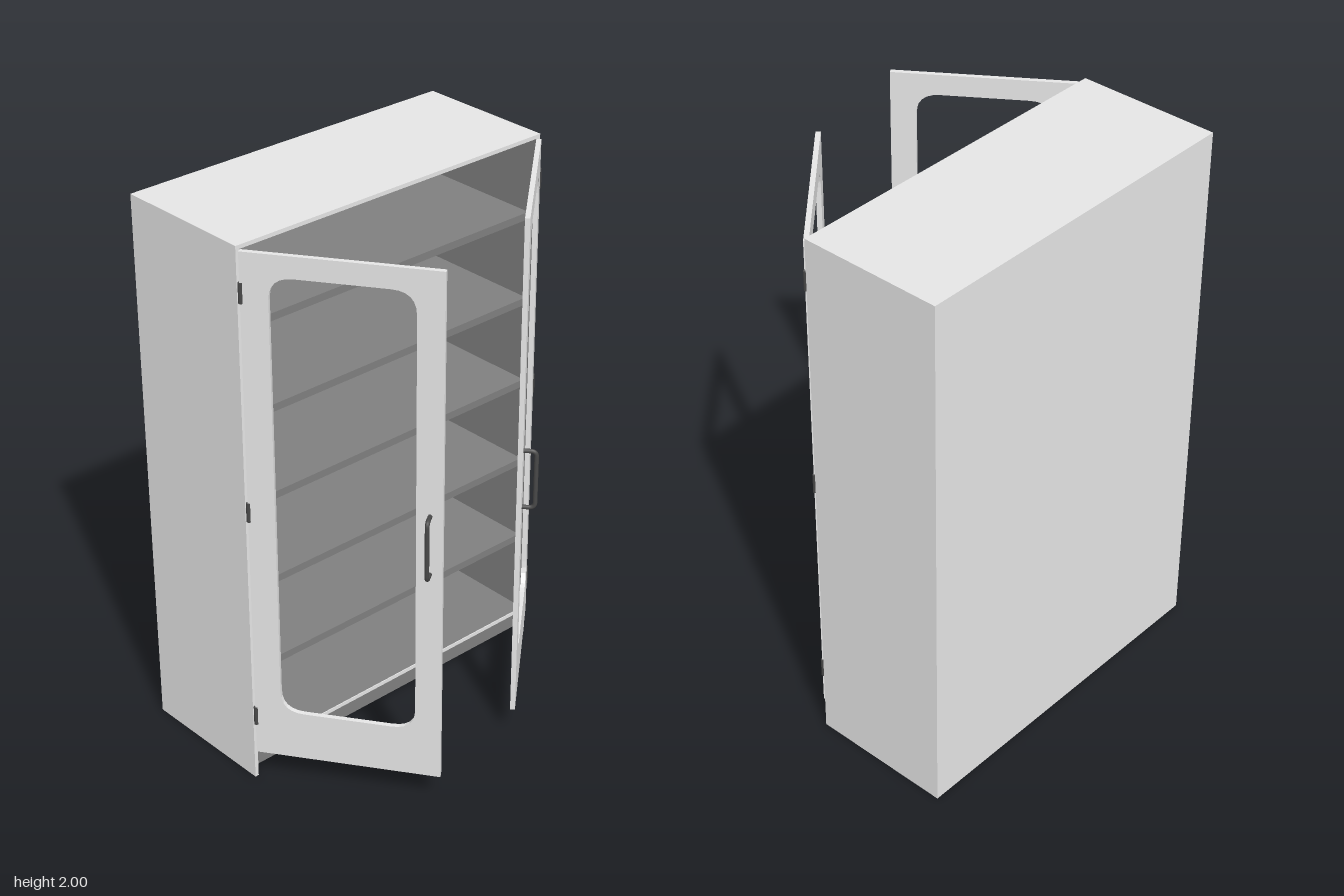
import * as THREE from 'three';

const body = new THREE.MeshStandardMaterial({ name: 'light grey shell', color: 0xe5e5e5 });
const lining = new THREE.MeshStandardMaterial({ name: 'mid grey lining', color: 0x7f7f7f });
const dark = new THREE.MeshStandardMaterial({ name: 'dark grey fittings', color: 0x484848 });

const WIDTH = 1.3, HEIGHT = 2, BACK = -0.528, FRONT = -0.006;
const SKIN = 0.003, WALL = 0.014, PLINTH = 0.1;
const DOOR_WIDTH = 0.637, DOOR_BOTTOM = 0.112, DOOR_TOP = 1.985, DOOR_THICK = 0.017;

// Box given by its minimum and maximum corners
function box(name, material, [x0, y0, z0], [x1, y1, z1]) {
  const mesh = new THREE.Mesh(new THREE.BoxGeometry(x1 - x0, y1 - y0, z1 - z0), material);
  mesh.position.set((x0 + x1) / 2, (y0 + y1) / 2, (z0 + z1) / 2);
  mesh.name = name;
  return mesh;
}

function roundedRect(path, x0, y0, x1, y1, r) {
  path.moveTo(x0 + r, y0);
  path.lineTo(x1 - r, y0);
  path.quadraticCurveTo(x1, y0, x1, y0 + r);
  path.lineTo(x1, y1 - r);
  path.quadraticCurveTo(x1, y1, x1 - r, y1);
  path.lineTo(x0 + r, y1);
  path.quadraticCurveTo(x0, y1, x0, y1 - r);
  path.lineTo(x0, y0 + r);
  path.quadraticCurveTo(x0, y0, x0 + r, y0);
  return path;
}

// Bent bar with rounded corners, standing off the door face
function makeHandle(x) {
  const lo = 0.917, hi = 1.133, z0 = DOOR_THICK / 2 - 0.004, z1 = 0.052, r = 0.02;
  const p = (y, z) => new THREE.Vector3(x, y, z);
  const path = new THREE.CurvePath();
  path.add(new THREE.LineCurve3(p(lo, z0), p(lo, z1 - r)));
  path.add(new THREE.QuadraticBezierCurve3(p(lo, z1 - r), p(lo, z1), p(lo + r, z1)));
  path.add(new THREE.LineCurve3(p(lo + r, z1), p(hi - r, z1)));
  path.add(new THREE.QuadraticBezierCurve3(p(hi - r, z1), p(hi, z1), p(hi, z1 - r)));
  path.add(new THREE.LineCurve3(p(hi, z1 - r), p(hi, z0)));
  const mesh = new THREE.Mesh(new THREE.TubeGeometry(path, 80, 0.0075, 10), dark);
  mesh.name = 'handle';
  return mesh;
}

// Door hung at its hinge line; side is +1 for left, -1 for right
function makeDoor(side, angle) {
  const door = new THREE.Group();
  door.name = side > 0 ? 'leftDoor' : 'rightDoor';
  const spanX = (a, b) => [Math.min(-side * a, -side * b), Math.max(-side * a, -side * b)];

  const [x0, x1] = spanX(0, DOOR_WIDTH);
  const shape = new THREE.Shape([
    new THREE.Vector2(x0, DOOR_BOTTOM), new THREE.Vector2(x1, DOOR_BOTTOM),
    new THREE.Vector2(x1, DOOR_TOP), new THREE.Vector2(x0, DOOR_TOP),
  ]);
  const [w0, w1] = spanX(0.09, 0.55);
  shape.holes.push(roundedRect(new THREE.Path(), w0, 0.295, w1, 1.91, 0.08));
  const geo = new THREE.ExtrudeGeometry(shape, { depth: DOOR_THICK, bevelEnabled: false, curveSegments: 6 });
  geo.translate(0, 0, -DOOR_THICK / 2);
  const frame = new THREE.Mesh(geo, body);
  frame.name = 'doorFrame';
  door.add(frame, makeHandle(-side * 0.595));

  door.position.set(side * 0.64, 0, -0.002);
  door.rotation.y = side * angle;
  return door;
}

export function createModel() {
  const model = new THREE.Group();
  model.name = 'cabinet';
  const half = WIDTH / 2, skin = half - SKIN, inner = half - WALL;
  const rim = FRONT - SKIN, ceiling = HEIGHT - WALL;

  // Side skins, front rims and inner wall linings
  for (const s of [-1, 1]) {
    const side = s > 0 ? 'left' : 'right';
    const wall = (part, material, xa, xb, y0, y1, z0, z1) => model.add(box(side + part, material,
      [Math.min(s * xa, s * xb), y0, z0], [Math.max(s * xa, s * xb), y1, z1]));
    wall('Side', body, skin, half, 0, HEIGHT, BACK, FRONT);
    wall('Rim', body, inner, skin, 0, HEIGHT - SKIN, rim, FRONT);
    wall('Lining', lining, inner, skin, PLINTH, HEIGHT - SKIN, BACK + SKIN, rim);
  }

  // Top, back and bottom, lined inside; the base is open behind the plinth
  model.add(box('top', body, [-skin, HEIGHT - SKIN, BACK], [skin, HEIGHT, FRONT]));
  model.add(box('topRim', body, [-inner, ceiling, rim], [inner, HEIGHT - SKIN, FRONT]));
  model.add(box('topLining', lining, [-inner, ceiling, BACK + SKIN], [inner, HEIGHT - SKIN, rim]));
  model.add(box('back', body, [-skin, 0, BACK], [skin, HEIGHT - SKIN, BACK + SKIN]));
  model.add(box('backLining', lining, [-inner, PLINTH, BACK + SKIN], [inner, ceiling, BACK + WALL]));
  model.add(box('bottom', lining, [-inner, PLINTH, BACK + WALL], [inner, PLINTH + WALL, rim]));
  model.add(box('bottomRim', body, [-inner, PLINTH, rim], [inner, PLINTH + WALL, FRONT]));
  model.add(box('plinth', lining, [-skin, 0, FRONT - 0.06], [skin, PLINTH, FRONT - 0.05]));

  // Five evenly spaced shelves
  for (let i = 0; i < 5; i++) {
    const y = 0.396 + i * 0.322;
    model.add(box('shelf', lining, [-inner, y, BACK + WALL], [inner, y + 0.027, FRONT - 0.03]));
  }

  // Doors standing open at different angles
  model.add(makeDoor(1, THREE.MathUtils.degToRad(41.5)));
  model.add(makeDoor(-1, THREE.MathUtils.degToRad(55.2)));

  // Hinge barrels
  const barrel = new THREE.CylinderGeometry(0.008, 0.008, 0.07, 12);
  for (const s of [-1, 1]) {
    for (const y of [0.262, 1.065, 1.845]) {
      const hinge = new THREE.Mesh(barrel, dark);
      hinge.name = 'hinge';
      hinge.position.set(s * 0.643, y, 0.002);
      model.add(hinge);
    }
  }
  return model;
}
